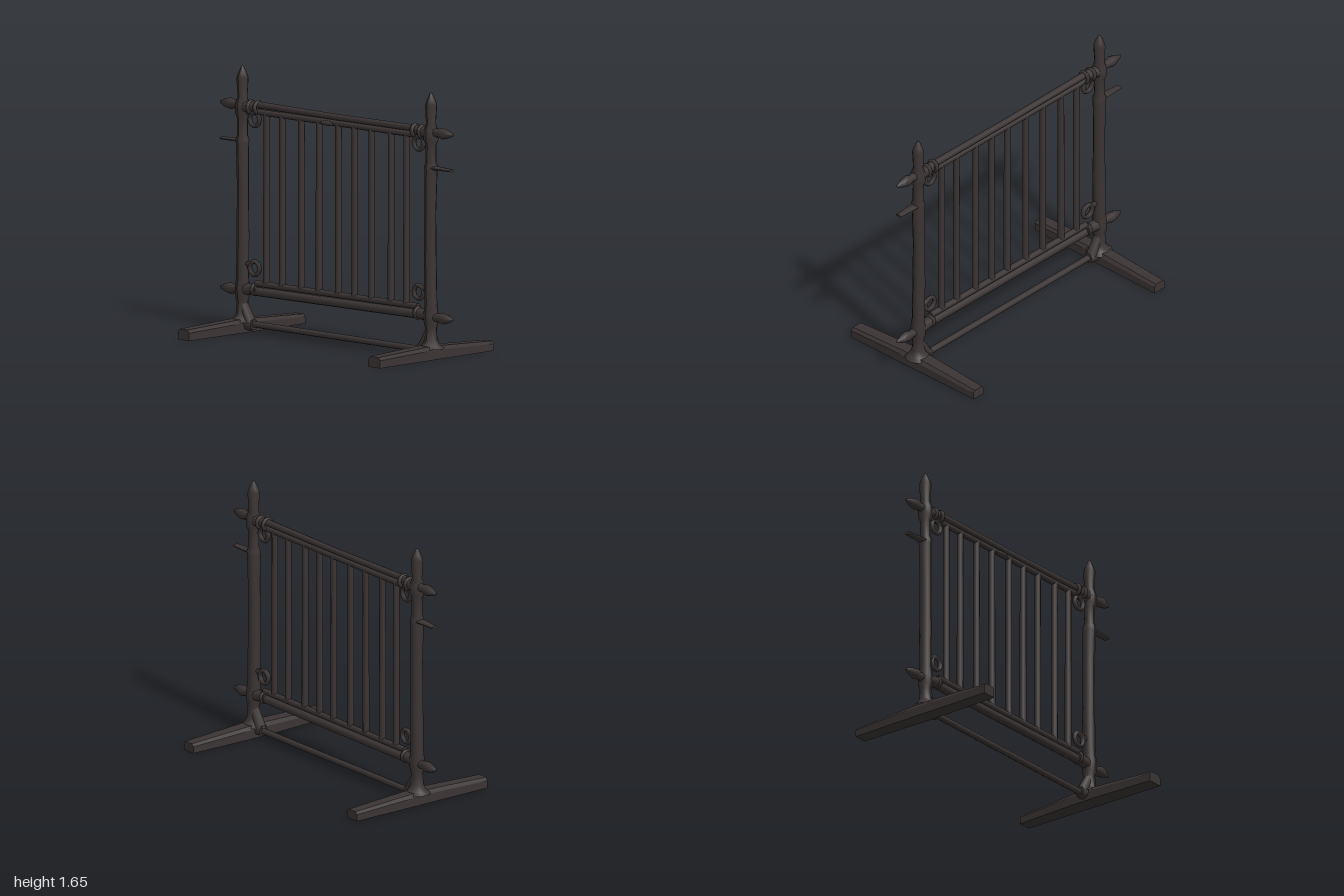
import * as THREE from 'three';

const iron = new THREE.MeshStandardMaterial({ color: 0x3b3434 });
iron.name = 'darkIron';

function add(parent, name, geometry, x = 0, y = 0, z = 0) {
  const mesh = new THREE.Mesh(geometry, iron);
  mesh.name = name;
  mesh.position.set(x, y, z);
  parent.add(mesh);
  return mesh;
}

// Straight round bar between two points, with its own end radii
function rod(parent, name, a, b, r0, r1 = r0, sides = 8) {
  const from = new THREE.Vector3(...a), to = new THREE.Vector3(...b);
  const dir = to.clone().sub(from);
  const mesh = add(parent, name, new THREE.CylinderGeometry(r1, r0, dir.length(), sides));
  mesh.position.copy(from).add(to).multiplyScalar(0.5);
  mesh.quaternion.setFromUnitVectors(new THREE.Vector3(0, 1, 0), dir.normalize());
  return mesh;
}

const lathe = (points, sides = 10) =>
  new THREE.LatheGeometry(points.map(([r, y]) => new THREE.Vector2(r, y)), sides);

// Closed loft along z: each station is [z, centre x, half width, height]
function footGeometry(stations) {
  const section = [[-1, 0], [1, 0], [1, 0.72], [0.72, 1], [-0.72, 1], [-1, 0.72]];
  const n = section.length, pos = [], index = [];
  for (const [z, cx, w, h] of stations)
    for (const [sx, sy] of section) pos.push(cx + sx * w, sy * h, z);
  for (let s = 0; s < stations.length - 1; s++)
    for (let i = 0; i < n; i++) {
      const a = s * n + i, b = s * n + (i + 1) % n;
      index.push(a, b, b + n, a, b + n, a + n);
    }
  const last = (stations.length - 1) * n;
  for (let i = 1; i < n - 1; i++)
    index.push(0, i + 1, i, last, last + i, last + i + 1);
  const indexed = new THREE.BufferGeometry();
  indexed.setAttribute('position', new THREE.Float32BufferAttribute(pos, 3));
  indexed.setIndex(index);
  const g = indexed.toNonIndexed();
  g.computeVertexNormals();
  return g;
}

function buildSide(s) {
  const side = new THREE.Group();
  side.name = s > 0 ? 'leftSupport' : 'rightSupport';
  const px = s * 0.81;

  // Upright post with a pointed top; the left one bows slightly inward
  const post = lathe([[0.085, 0.065], [0.06, 0.085], [0.04, 0.12], [0.036, 0.19], [0.045, 0.22],
    [0.047, 0.28], [0.04, 0.34], [0.04, 0.6], [0.037, 0.9], [0.041, 1.17], [0.043, 1.2],
    [0.034, 1.22], [0.033, 1.33], [0.046, 1.36], [0.046, 1.42], [0.031, 1.46],
    [0.038, 1.58], [0.028, 1.61], [0.008, 1.652], [0, 1.655]]);
  const p = post.attributes.position;
  for (let i = 0; i < p.count; i++) {
    const t = THREE.MathUtils.clamp((p.getY(i) - 0.3) / 0.9, 0, 1);
    p.setX(i, p.getX(i) + (s > 0 ? -0.008 : 0.004) * Math.sin(t * Math.PI));
  }
  post.computeVertexNormals();
  add(side, 'post', post, px);

  // Long ground foot
  add(side, 'foot', footGeometry(s > 0
    ? [[-0.51, 0.808, 0.044, 0.06], [-0.08, 0.806, 0.054, 0.08], [0.08, 0.808, 0.056, 0.083], [0.51, 0.82, 0.05, 0.067]]
    : [[-0.51, -0.812, 0.045, 0.06], [-0.08, -0.812, 0.05, 0.08], [0.08, -0.812, 0.05, 0.083], [0.51, -0.818, 0.047, 0.067]]));

  // Sloping gusset and collar holding the lower brace
  rod(side, 'baseGusset', [s * 0.8, 0.17, 0], [s * 0.735, 0.055, 0], 0.03, 0.036);
  rod(side, 'braceSocket', [s * 0.79, 0.053, 0], [s * 0.71, 0.053, 0], 0.045, 0.034);

  // Sideways spear points
  for (const y of [1.41, 0.26]) {
    const spear = add(side, 'spearPoint', lathe([[0.034, 0], [0.026, 0.06], [0.036, 0.1],
      [0.028, 0.14], [0.009, 0.187], [0, 0.19]], 8), px, y);
    spear.rotation.z = -s * Math.PI / 2;
    spear.scale.z = 0.9;
  }

  // Flat tapering hook peg
  const peg = rod(side, 'peg', [px, 1.19, 0], [s * 0.985, 1.187, 0], 0.034, 0.022);
  peg.scale.x = 0.42;

  // Rail sockets, lashings and rings
  rod(side, 'upperSocket', [px, 1.4, 0], [s * 0.69, 1.41, 0], 0.042, 0.03);
  rod(side, 'lowerSocket', [px, 0.265, 0], [s * 0.68, 0.275, 0], 0.04, 0.033);
  for (const [x, y, r] of [[0.735, 1.405, 0.034], [0.675, 1.408, 0.034], [0.7, 0.275, 0.031]]) {
    const band = add(side, 'railBand', new THREE.TorusGeometry(r, 0.013, 6, 12), s * x, y);
    band.rotation.y = Math.PI / 2;
  }
  for (const y of [1.332, 0.405]) {
    add(side, 'ring', new THREE.TorusGeometry(0.042, 0.015, 6, 10), s * 0.705, y);
    rod(side, 'ringPin', [s * 0.77, y + (y > 1 ? 0.045 : 0.02), 0],
      [s * 0.735, y + 0.03, 0], 0.018, 0.015, 6);
  }
  return side;
}

export function createModel() {
  const model = new THREE.Group();
  model.name = 'barrier';
  model.add(buildSide(1), buildSide(-1));

  // Paired rails above and below, and the brace between the feet
  const panel = new THREE.Group();
  panel.name = 'barPanel';
  model.add(panel);
  rod(panel, 'topRail', [-0.72, 1.425, 0], [0, 1.418, 0], 0.022, 0.02);
  rod(panel, 'topRail', [0, 1.418, 0], [0.72, 1.42, 0], 0.02, 0.022);
  rod(panel, 'topBarRail', [-0.69, 1.38, 0], [0.69, 1.38, 0], 0.019);
  rod(panel, 'bottomBarRail', [-0.69, 0.312, 0], [0.7, 0.315, 0], 0.02);
  rod(panel, 'bottomRail', [-0.69, 0.262, 0], [0.7, 0.266, 0], 0.028);
  rod(panel, 'footBrace', [-0.73, 0.056, 0], [0.73, 0.05, 0], 0.02);

  // Small weld lump on the top rail
  const lump = add(panel, 'weld', new THREE.SphereGeometry(0.02, 8, 6), -0.07, 1.375, 0.012);
  lump.scale.set(3, 0.8, 1);

  // Vertical bars
  for (const x of [-0.603, -0.467, -0.303, -0.152, 0.015, 0.155, 0.3, 0.467, 0.6])
    rod(panel, 'bar', [x, 0.31, 0], [x, 1.38, 0], 0.021, 0.02);

  return model;
}
